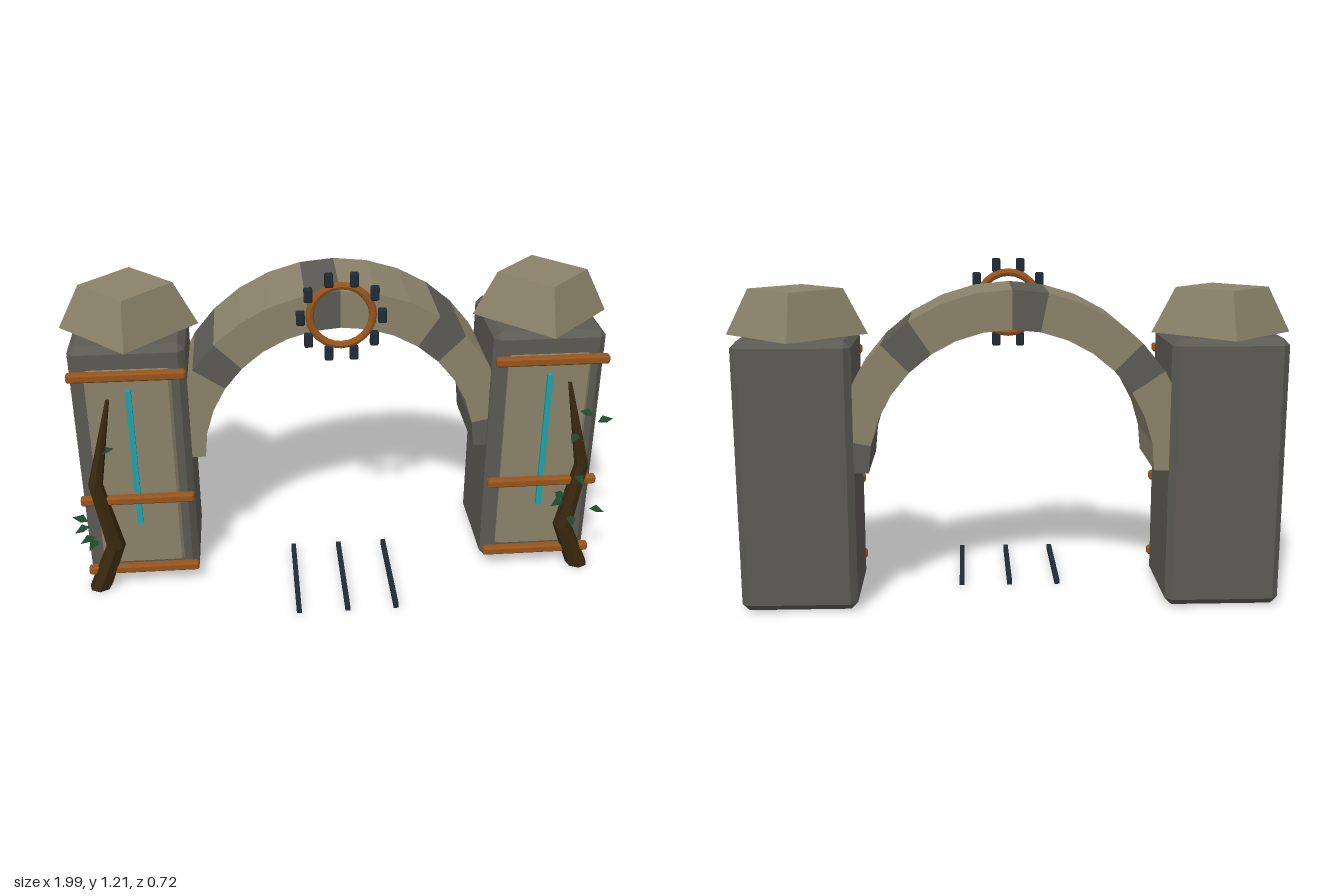
import * as THREE from 'three';
import { ConvexGeometry } from 'three/addons/geometries/ConvexGeometry.js';

function material(name, color, extra = {}) {
  const m = new THREE.MeshStandardMaterial({ color, flatShading: true, ...extra });
  m.name = name;
  return m;
}

// Box with every edge cut at 45 degrees
function chamferBox(w, h, d, c) {
  const pts = [];
  for (const sx of [-1, 1]) for (const sy of [-1, 1]) for (const sz of [-1, 1]) {
    const [x, y, z] = [w / 2, h / 2, d / 2];
    pts.push(new THREE.Vector3(sx * x, sy * (y - c), sz * (z - c)));
    pts.push(new THREE.Vector3(sx * (x - c), sy * y, sz * (z - c)));
    pts.push(new THREE.Vector3(sx * (x - c), sy * (y - c), sz * z));
  }
  return new ConvexGeometry(pts);
}

// Crooked tapering trunk lofted through rings of [x, y, z, radius]
function trunkGeometry(rings, sides = 7) {
  const pos = [], idx = [];
  for (const [x, y, z, r] of rings) {
    for (let i = 0; i < sides; i++) {
      const a = (i / sides) * Math.PI * 2;
      pos.push(x + r * Math.sin(a), y, z + r * Math.cos(a));
    }
  }
  for (let k = 0; k < rings.length - 1; k++) {
    for (let i = 0; i < sides; i++) {
      const a = k * sides + i, b = k * sides + (i + 1) % sides;
      idx.push(a, b, b + sides, a, b + sides, a + sides);
    }
  }
  const top = (rings.length - 1) * sides;
  for (let i = 1; i < sides - 1; i++) idx.push(0, i + 1, i, top, top + i, top + i + 1);
  const g = new THREE.BufferGeometry();
  g.setAttribute('position', new THREE.Float32BufferAttribute(pos, 3));
  g.setIndex(idx);
  g.computeVertexNormals();
  return g;
}

// Leaf blade folded along its middle, growing along +x
function leafGeometry() {
  const g = new THREE.BufferGeometry();
  g.setAttribute('position', new THREE.Float32BufferAttribute([
    0, 0, 0, 0.025, 0.008, 0.018, 0.06, -0.006, 0, 0.025, 0.008, -0.018], 3));
  g.setIndex([0, 1, 2, 0, 2, 3]);
  g.computeVertexNormals();
  return g;
}

export function createModel() {
  const stone = material('dark stone', 0x5b5a53);
  const sand = material('pale stone', 0x8a8269);
  const wood = material('orange wood', 0x97541c);
  const iron = material('dark iron', 0x202a35);
  const bark = material('bark', 0x38280f);
  const leafGreen = material('leaf green', 0x1d4a2c, { side: THREE.DoubleSide });
  const glow = material('teal strip', 0x1ba3ab);

  const model = new THREE.Group();
  model.name = 'archway';
  function add(parent, name, geometry, mat, x = 0, y = 0, z = 0) {
    const mesh = new THREE.Mesh(geometry, mat);
    mesh.name = name;
    mesh.position.set(x, y, z);
    parent.add(mesh);
    return mesh;
  }

  const PX = 0.747, PZ = -0.113;
  // Leaves as [distance from centre, y, z, heading, tilt]
  const leaves = {
    '-1': [[0.87, 0.59, 0.14, 0.4, 0.1], [0.93, 0.315, 0.15, 2.9, 0.3], [0.91, 0.25, 0.155, 3.7, 0.2],
      [0.93, 0.28, 0.13, 3.4, -0.2], [0.9, 0.24, 0.16, 4.2, 0.2]],
    '1': [[0.86, 0.685, 0.14, -0.6, 0.1], [0.935, 0.63, 0.13, 0.2, 0.15], [0.86, 0.59, 0.14, 4.1, 0.2],
      [0.83, 0.31, 0.15, 3.6, 0.2], [0.82, 0.35, 0.14, 4.3, 0.1], [0.935, 0.27, 0.15, -0.2, -0.1],
      [0.86, 0.25, 0.16, 4.6, 0.2], [0.87, 0.42, 0.14, 5.0, 0.1]],
  };

  for (const s of [-1, 1]) {
    const side = new THREE.Group();
    side.name = s > 0 ? 'leftPillar' : 'rightPillar';
    model.add(side);
    add(side, 'pillarBody', chamferBox(0.405, 0.955, 0.39, 0.024), stone, s * PX, 0.494, PZ);
    add(side, 'pillarCap', new THREE.CylinderGeometry(0.165, 0.247, 0.16, 4), sand, s * PX, 1.051, PZ);
    add(side, 'frontPanel', chamferBox(0.3, 0.8, 0.05, 0.01), sand, s * PX, 0.49, 0.077);
    add(side, 'lightStrip', new THREE.BoxGeometry(0.02, 0.545, 0.018), glow, s * PX, 0.548, 0.105);
    for (const y of [0.085, 0.387, 0.884]) {
      add(side, 'woodenBeam', chamferBox(0.408, 0.032, 0.032, 0.006), wood, s * PX, y, 0.123);
    }
    add(side, 'climbingTrunk', trunkGeometry([
      [s * 0.915, 0.012, 0.128, 0.042], [s * 0.842, 0.195, 0.134, 0.036],
      [s * 0.893, 0.455, 0.127, 0.027], [s * 0.82, 0.79, 0.115, 0.007]]), bark);
    for (const [x, y, z, heading, tilt] of leaves[s]) {
      const leaf = add(side, 'leaf', leafGeometry(), leafGreen, s * x, y, z);
      leaf.rotation.set(0.35, heading, tilt);
    }
  }

  // Arch of sixteen wedge stones, every fourth one dark
  const arch = new THREE.Group();
  arch.name = 'arch';
  model.add(arch);
  const count = 16, inner = 0.495, outer = 0.63;
  for (let i = 0; i < count; i++) {
    const a = (i / count) * Math.PI, b = ((i + 1) / count) * Math.PI;
    const shape = new THREE.Shape([[inner, a], [outer, a], [outer, b], [inner, b]]
      .map(([r, t]) => new THREE.Vector2(r * Math.cos(t), r * Math.sin(t))));
    const wedge = new THREE.ExtrudeGeometry(shape, { depth: 0.335, bevelEnabled: false });
    add(arch, 'archStone', wedge, i % 4 === 0 ? stone : sand, 0, 0.51, -0.285);
  }

  // Toothed ring on the crown of the arch
  const gear = new THREE.Group();
  gear.name = 'gearRing';
  gear.position.set(0, 1.06, 0);
  model.add(gear);
  add(gear, 'ring', new THREE.TorusGeometry(0.11, 0.014, 8, 24), wood, 0, 0, 0.071);
  for (let i = 0; i < 10; i++) {
    const a = (i / 10) * Math.PI * 2;
    add(gear, 'gearTooth', chamferBox(0.03, 0.05, 0.026, 0.004), iron,
      0.142 * Math.cos(a), 0.142 * Math.sin(a), 0.082);
  }

  // Rails on the ground under the arch
  for (const x of [-0.178, 0, 0.178]) {
    add(model, 'groundRail', new THREE.BoxGeometry(0.018, 0.018, 0.42), iron, x, 0.024, 0.152);
  }
  return model;
}
